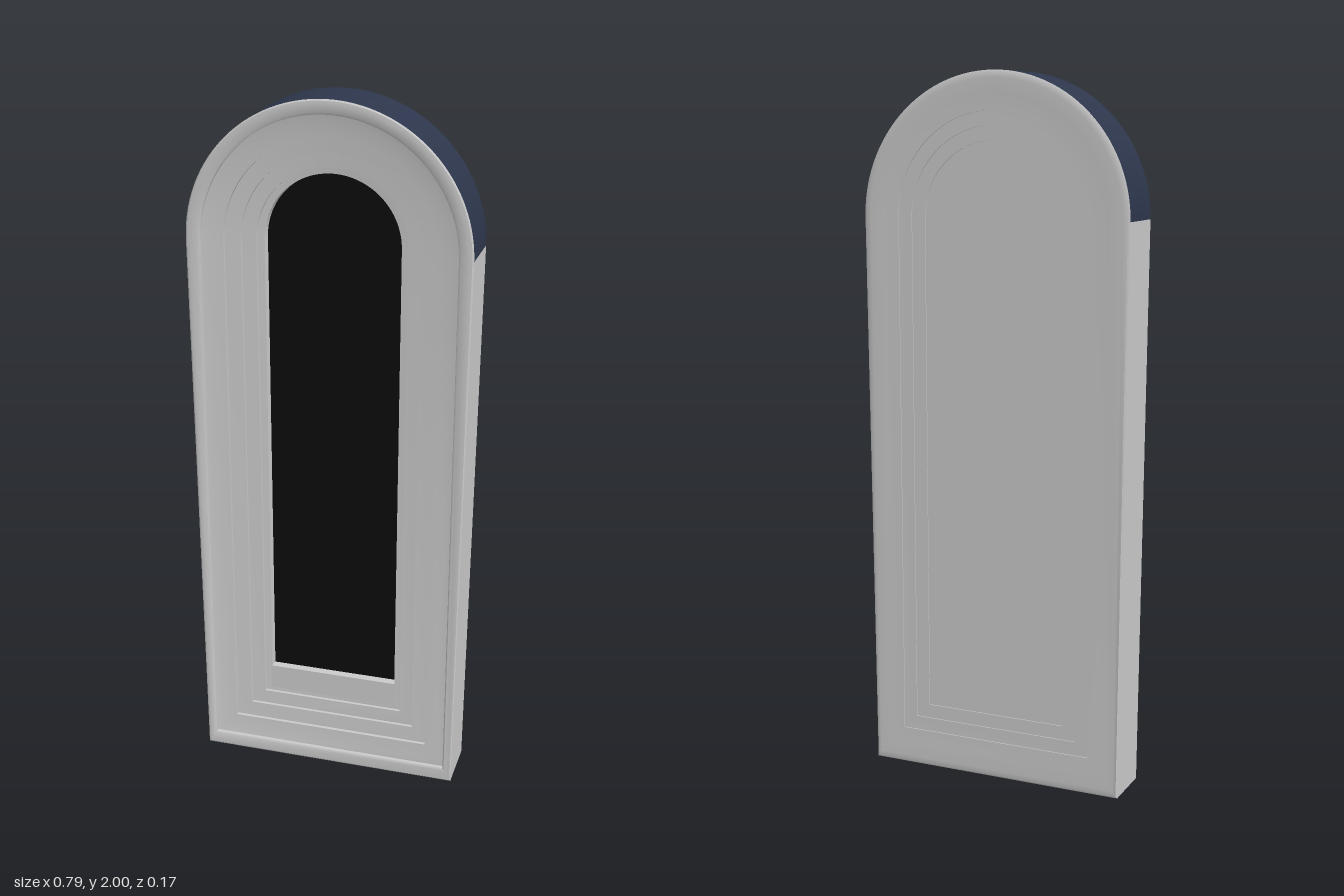
import * as THREE from 'three';
import { toCreasedNormals } from 'three/addons/utils/BufferGeometryUtils.js';

const ARC = 56;        // segments in the round head
const SPRING = 1.605;  // height where the arch begins
const RADIUS = 0.395;

const stone = new THREE.MeshStandardMaterial({ color: 0xcccccc });
const navy = new THREE.MeshStandardMaterial({ color: 0x2d364c });
const black = new THREE.MeshStandardMaterial({ color: 0x0c0c0c });

// Arched outline, counterclockwise: head from right to left, then the two bottom corners
function outline(inset) {
  const r = RADIUS - inset;
  const foot = r - 0.015 * Math.max(0, 1 - inset / 0.04); // outer sides taper slightly
  const pts = [];
  for (let i = 0; i <= ARC; i++) {
    const a = (Math.PI * i) / ARC;
    pts.push(new THREE.Vector2(r * Math.cos(a), SPRING + r * Math.sin(a)));
  }
  pts.push(new THREE.Vector2(-foot, inset), new THREE.Vector2(foot, inset));
  return pts;
}

// Sweeps a profile of [inset, z] around the outline, between two outline segments
function sweep(profile, from = 0, to = ARC + 3) {
  const rows = profile.map(([inset, z]) =>
    outline(inset).map((p) => new THREE.Vector3(p.x, p.y, z)));
  const pos = [];
  for (let j = 0; j < rows.length - 1; j++) {
    for (let i = from; i < to; i++) {
      const k = (i + 1) % rows[j].length;
      const a = rows[j][i], b = rows[j][k], c = rows[j + 1][k], d = rows[j + 1][i];
      for (const v of [a, b, c, a, c, d]) pos.push(v.x, v.y, v.z);
    }
  }
  const g = new THREE.BufferGeometry();
  g.setAttribute('position', new THREE.Float32BufferAttribute(pos, 3));
  return toCreasedNormals(g, 0.5);
}

export function createModel() {
  const model = new THREE.Group();
  model.name = 'archedWindow';
  const add = (name, geometry, material = stone) => {
    const mesh = new THREE.Mesh(geometry, material);
    mesh.name = name;
    model.add(mesh);
    return mesh;
  };

  // Stepped mouldings on the front, from the rim in to the pane
  add('frontMoulding', sweep([
    [0, 0.079], [0.004, 0.082], [0.012, 0.083], [0.034, 0.081], [0.04, 0.078],
    [0.04, 0.068], [0.06, 0.064], [0.1, 0.06],
    [0.1, 0.05], [0.145, 0.046],
    [0.145, 0.037], [0.185, 0.034],
    [0.185, 0.025], [0.205, 0.023], [0.207, -0.005],
  ]));

  // Shallow steps on the back
  add('backMoulding', sweep([
    [0.185, -0.071], [0.185, -0.074], [0.145, -0.074], [0.145, -0.077],
    [0.105, -0.077], [0.105, -0.08], [0.06, -0.081], [0.02, -0.083],
    [0.006, -0.082], [0, -0.079],
  ]));

  // Outer edge: coloured head, plain sides and base
  const edge = [[0, -0.079], [0, 0.079]];
  add('archTop', sweep(edge, 0, ARC), navy);
  add('sidesAndBase', sweep(edge, ARC));

  // Dark pane and flat back panel
  add('pane', new THREE.ShapeGeometry(new THREE.Shape(outline(0.205))), black);
  const back = add('backPanel', new THREE.ShapeGeometry(new THREE.Shape(outline(0.185))));
  back.rotation.y = Math.PI;
  back.position.z = -0.071;

  // Sill below the pane
  const sill = add('sill', new THREE.BoxGeometry(0.386, 0.085, 0.04));
  sill.position.set(0, 0.2275, 0.004);

  return model;
}
